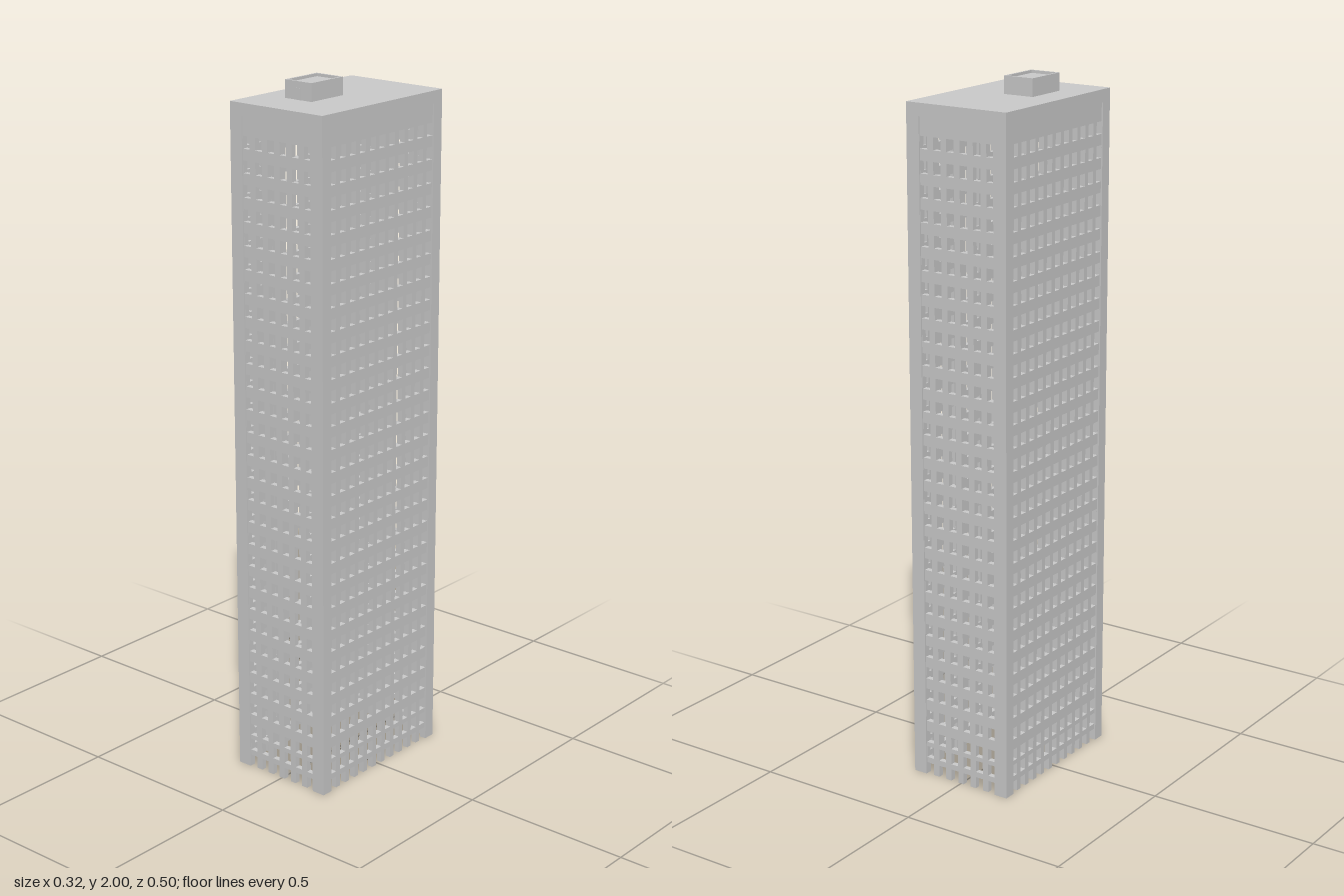
import * as THREE from 'three';

const W = 0.322, D = 0.503, ROOF = 1.95, BAND = 1.914; // overall footprint, roof top, underside of roof band
const WALL = 0.02, RECESS = 0.004;                     // shell thickness, set-back of the window grids
const WIN_H = 0.035;

// Window centre heights: two stacks of 14 storeys and one low row; the ground row is cut separately.
const rows = [0.069];
for (const base of [0.117, 0.981]) for (let i = 0; i < 14; i++) rows.push(base + i * 0.0664);

const material = new THREE.MeshStandardMaterial({ color: 0xcccccc, flatShading: true });

function add(parent, name, geometry, x = 0, y = 0, z = 0) {
  const mesh = new THREE.Mesh(geometry, material);
  mesh.name = name;
  mesh.position.set(x, y, z);
  parent.add(mesh);
  return mesh;
}

function polygon(points) {
  return new THREE.Shape(points.map(([x, y]) => new THREE.Vector2(x, y)));
}

function rectHole(x0, y0, x1, y1) {
  const path = new THREE.Path();
  path.moveTo(x0, y0);
  path.lineTo(x0, y1);
  path.lineTo(x1, y1);
  path.lineTo(x1, y0);
  path.closePath();
  return path;
}

// Wall of see-through windows, with a comb of open bays at ground level; outer face at z = 0.
function windowGrid(columns, pitch, winW) {
  const half = (columns - 1) / 2;
  const edge = half * pitch + winW / 2 + 0.008;
  const outline = [[edge, 0], [edge, BAND + 0.01], [-edge, BAND + 0.01], [-edge, 0]];
  const centres = Array.from({ length: columns }, (_, i) => (i - half) * pitch);
  for (const c of centres) {
    const a = c - winW / 2, b = c + winW / 2;
    outline.push([a, 0], [a, WIN_H], [b, WIN_H], [b, 0]);
  }
  const shape = polygon(outline);
  for (const c of centres) for (const y of rows) {
    shape.holes.push(rectHole(c - winW / 2, y - WIN_H / 2, c + winW / 2, y + WIN_H / 2));
  }
  const depth = WALL - RECESS;
  return new THREE.ExtrudeGeometry(shape, { depth, bevelEnabled: false }).translate(0, 0, -depth);
}

export function createModel() {
  const model = new THREE.Group();
  model.name = 'tower';

  // Window walls on all four sides
  const narrow = windowGrid(6, 0.043, 0.024);
  const wide = windowGrid(11, 0.0408, 0.0245);
  add(model, 'frontWindowWall', narrow, 0, 0, D / 2 - RECESS);
  add(model, 'backWindowWall', narrow, 0, 0, -D / 2 + RECESS).rotation.y = Math.PI;
  add(model, 'leftWindowWall', wide, W / 2 - RECESS).rotation.y = Math.PI / 2;
  add(model, 'rightWindowWall', wide, -W / 2 + RECESS).rotation.y = -Math.PI / 2;

  // L-shaped corner piers
  const legX = 0.12, legZ = 0.2163, X = W / 2, Z = D / 2;
  for (const sx of [-1, 1]) for (const sz of [-1, 1]) {
    const points = [[X, Z], [legX, Z], [legX, Z - WALL], [X - WALL, Z - WALL], [X - WALL, legZ], [X, legZ]];
    const shape = polygon(points.map(([x, z]) => [sx * x, -sz * z]));
    const geometry = new THREE.ExtrudeGeometry(shape, { depth: BAND, bevelEnabled: false });
    add(model, 'cornerPier', geometry.rotateX(-Math.PI / 2));
  }

  // Roof with its plain band
  add(model, 'roof', new THREE.BoxGeometry(W, ROOF - BAND, D), 0, (ROOF + BAND) / 2, 0);

  // Rooftop stair house with a raised rim and a door
  const house = new THREE.Group();
  house.name = 'roofHouse';
  house.position.set(-0.031, ROOF, 0.06);
  model.add(house);
  const w = 0.093, d = 0.13, rim = 0.006, deck = 0.042;
  add(house, 'roofHouseBody', new THREE.BoxGeometry(w, deck, d), 0, deck / 2, 0);
  const ring = polygon([[-w / 2, -d / 2], [w / 2, -d / 2], [w / 2, d / 2], [-w / 2, d / 2]]);
  ring.holes.push(rectHole(-w / 2 + rim, -d / 2 + rim, w / 2 - rim, d / 2 - rim));
  const rimGeometry = new THREE.ExtrudeGeometry(ring, { depth: 0.05 - deck, bevelEnabled: false });
  add(house, 'roofHouseRim', rimGeometry.rotateX(-Math.PI / 2), 0, deck, 0);
  add(house, 'roofHouseDoor', new THREE.BoxGeometry(0.016, 0.032, 0.002), 0, 0.016, d / 2);

  return model;
}
